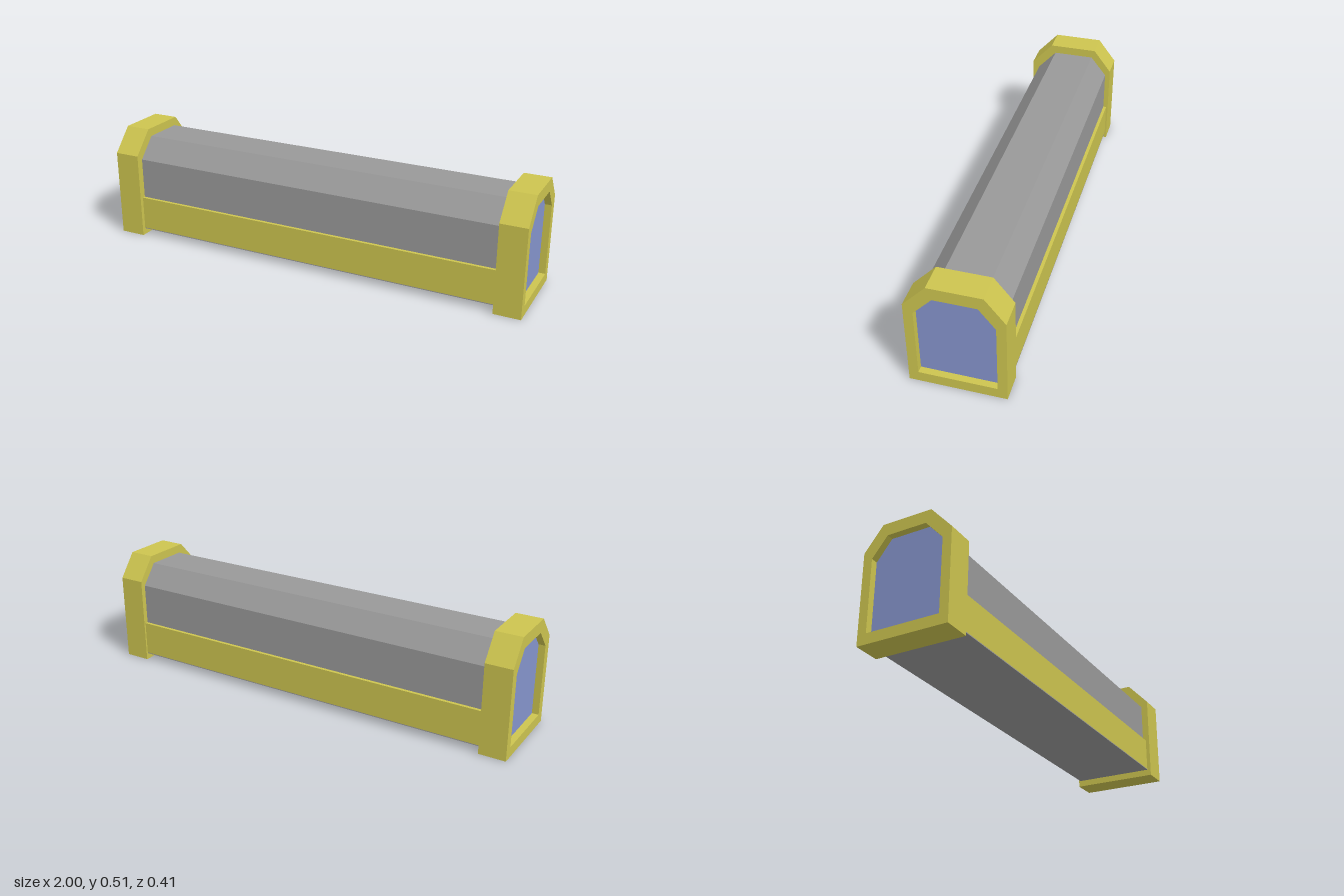
import * as THREE from 'three';

const material = (color) => new THREE.MeshStandardMaterial({ color, flatShading: true });

// Chamfered arch outline as [z, y] points
const arch = (zBack, zFront, topBack, topFront, y0, shoulder, y1) => [
  [zFront, y0], [zBack, y0], [zBack, shoulder],
  [topBack, y1], [topFront, y1], [zFront, shoulder],
].map(([z, y]) => new THREE.Vector2(-z, y));

// Extrudes an outline along x, from x0 to x1
function extrudeX(outline, x0, x1, hole) {
  const shape = new THREE.Shape(outline);
  if (hole) shape.holes.push(new THREE.Path(hole));
  const geometry = new THREE.ExtrudeGeometry(shape, { depth: x1 - x0, bevelEnabled: false });
  return geometry.rotateY(Math.PI / 2).translate(x0, 0, 0);
}

export function createModel() {
  const group = new THREE.Group();
  const gold = material(0xccc44f);
  const grey = material(0x999999);
  const blue = material(0x8594cc);
  const add = (name, geometry, mat) => {
    const mesh = new THREE.Mesh(geometry, mat);
    mesh.name = name;
    group.add(mesh);
  };

  // Long grey body with chamfered top
  add('body', extrudeX(arch(-0.18, 0.17, -0.105, 0.085, 0.032, 0.38, 0.473), -0.885, 0.885), grey);

  // Flat underside, spanning the side bands
  add('underside', new THREE.BoxGeometry(1.77, 0.004, 0.38).translate(0, 0.032, -0.005), grey);

  // Raised bands along the lower sides
  for (const [name, z] of [['frontBand', 0.175], ['backBand', -0.185]]) {
    add(name, new THREE.BoxGeometry(1.77, 0.156, 0.02).translate(0, 0.112, z), gold);
  }

  // End frames, each with a recessed blue panel
  const outer = arch(-0.203, 0.203, -0.119, 0.105, 0, 0.405, 0.512);
  const inner = arch(-0.163, 0.163, -0.095, 0.083, 0.047, 0.37, 0.457);
  for (const [side, x0, panelX] of [['left', 0.88, 0.88], ['right', -1, -0.97]]) {
    add(side + 'EndFrame', extrudeX(outer, x0, x0 + 0.12, inner), gold);
    add(side + 'EndPanel', extrudeX(inner, panelX, panelX + 0.09), blue);
  }
  return group;
}
